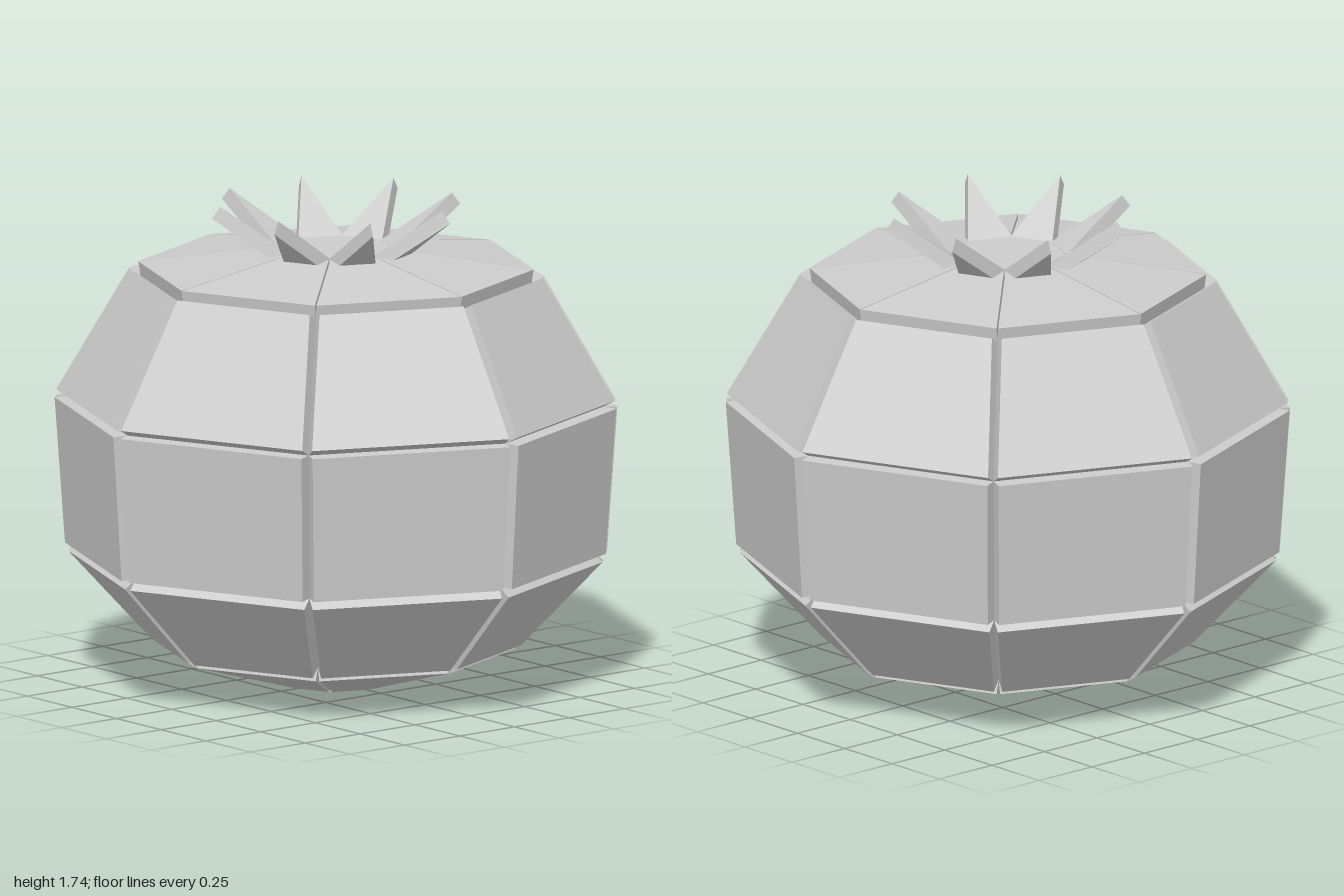
import * as THREE from 'three';

const SIDES = 8;
const STEP = (Math.PI * 2) / SIDES;
const THICK = 0.052;

// Core profile from bottom to top: [corner radius, height]
const RINGS = [[0.17, 0.052], [0.622, 0.184], [0.913, 0.491], [0.95, 1.015], [0.695, 1.453], [0.205, 1.519]];
const BANDS = ['lowerCapPanel', 'lowerPanel', 'middlePanel', 'upperPanel', 'upperCapPanel'];

const material = new THREE.MeshStandardMaterial({ color: 0xcccccc, flatShading: true });

// Point at a radius and height, turned around the vertical axis
const polar = (r, y, a) => new THREE.Vector3(r * Math.cos(a), y, -r * Math.sin(a));

// Flat polygon (counter-clockwise from outside) raised along its own normal
function plateGeometry(base) {
  const normal = new THREE.Vector3()
    .subVectors(base[1], base[0])
    .cross(new THREE.Vector3().subVectors(base[2], base[0]))
    .normalize();
  const top = base.map((p) => p.clone().addScaledVector(normal, THICK));
  const n = base.length;
  const tris = [];
  for (let i = 1; i < n - 1; i++) {
    tris.push(top[0], top[i], top[i + 1], base[0], base[i + 1], base[i]);
  }
  for (let i = 0; i < n; i++) {
    const j = (i + 1) % n;
    tris.push(base[i], base[j], top[j], base[i], top[j], top[i]);
  }
  const geometry = new THREE.BufferGeometry().setFromPoints(tris);
  geometry.computeVertexNormals();
  return geometry;
}

export function createModel() {
  const model = new THREE.Group();
  model.name = 'segmentedPumpkin';

  const add = (geometry, name) => {
    const mesh = new THREE.Mesh(geometry, material);
    mesh.name = name;
    model.add(mesh);
  };

  // Eight-sided core, seen at the bottom of the grooves
  const profile = [[0, RINGS[0][1]], ...RINGS, [0, RINGS[5][1]]];
  add(new THREE.LatheGeometry(profile.map(([r, y]) => new THREE.Vector2(r, y)), SIDES), 'core');

  // Raised panels on every face of the core
  BANDS.forEach((name, b) => {
    const [r0, y0] = RINGS[b];
    const [r1, y1] = RINGS[b + 1];
    for (let i = 0; i < SIDES; i++) {
      const a = i * STEP;
      add(plateGeometry([
        polar(r0, y0, a), polar(r0, y0, a + STEP),
        polar(r1, y1, a + STEP), polar(r1, y1, a),
      ]), name);
    }
  });

  // Octagonal end plates
  const octagon = ([r, y]) => Array.from({ length: SIDES }, (_, i) => polar(r, y, i * STEP));
  add(plateGeometry(octagon(RINGS[0]).reverse()), 'bottomPlate');
  add(plateGeometry(octagon(RINGS[5])), 'topPlate');

  // Crown of pointed leaves leaning outward from the top plate
  const leaf = plateGeometry([
    new THREE.Vector3(0.222, 1.528, -0.082),
    new THREE.Vector3(0.222, 1.528, 0.082),
    new THREE.Vector3(0.458, 1.7, 0),
  ]);
  for (let i = 0; i < SIDES; i++) {
    add(leaf.clone().rotateY((i + 0.5) * STEP), 'leaf');
  }

  return model;
}
